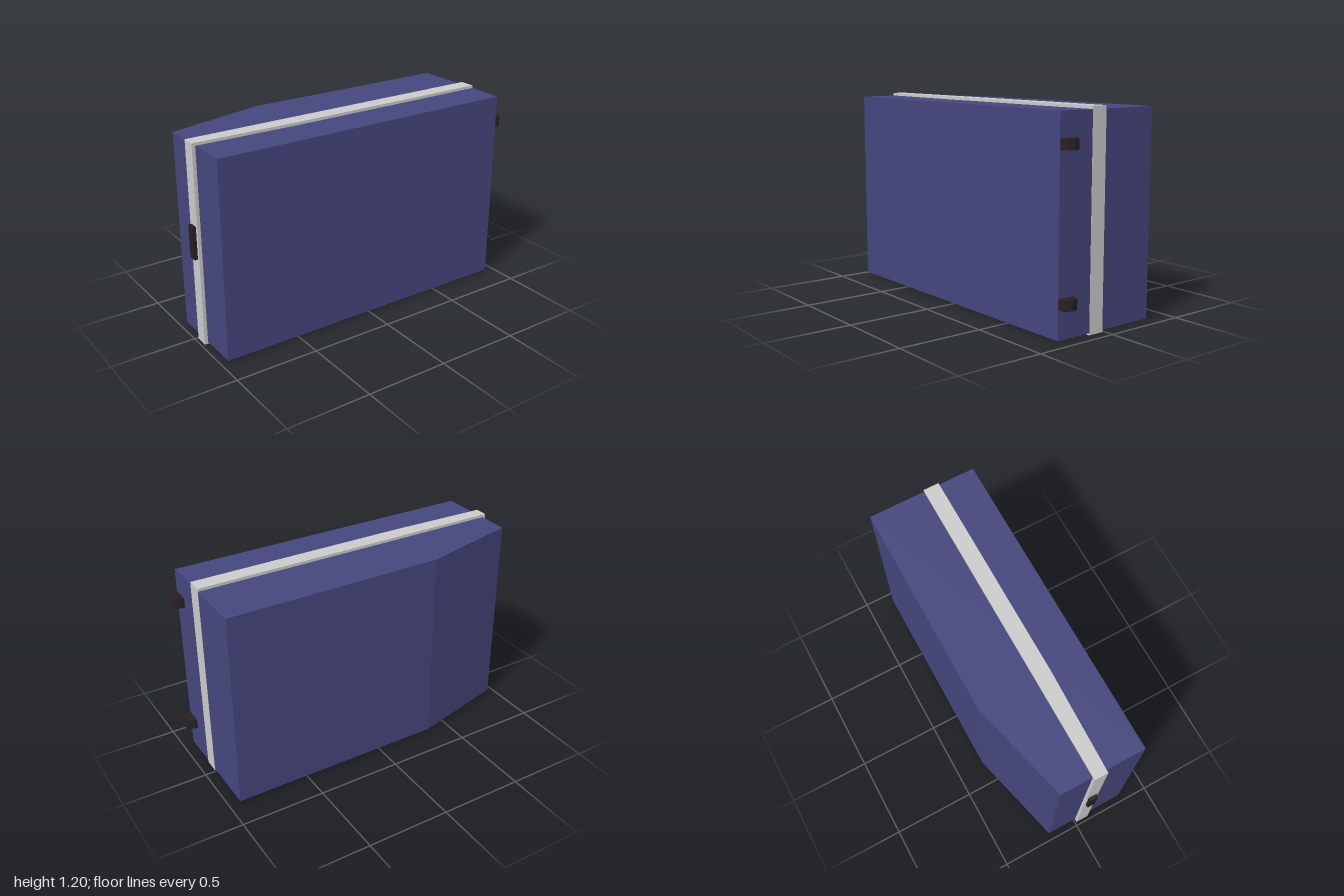
import * as THREE from 'three';

const mat = (color) => new THREE.MeshStandardMaterial({ color, flatShading: true });

// Upright prism: plan outline of [x, z] points, from y0 up to y1
function prism(name, outline, y0, y1, material) {
  const shape = new THREE.Shape(outline.map(([x, z]) => new THREE.Vector2(x, z)));
  const geo = new THREE.ExtrudeGeometry(shape, { depth: y1 - y0, bevelEnabled: false });
  geo.rotateX(Math.PI / 2).translate(0, y1, 0);
  const mesh = new THREE.Mesh(geo, material);
  mesh.name = name;
  return mesh;
}

export function createModel() {
  const model = new THREE.Group();
  model.name = 'case';
  const blue = mat(0x45467d);
  const grey = mat(0xcccccc);
  const dark = mat(0x2a1e22);

  // Case body with one tapered rear corner
  model.add(prism('body', [
    [-0.96, 0.328], [-0.96, -0.178], [-0.36, -0.33], [0.935, -0.33], [0.935, 0.328],
  ], 0.012, 1.183, blue));

  // Trim band around the seam, slimmer towards the latch end
  model.add(prism('trimBand', [
    [-0.98, 0.09], [-0.98, 0.011], [0.936, 0.011], [0.936, 0.106], [-0.36, 0.106],
  ], 0, 1.2, grey));

  // Latch on the band
  model.add(prism('latch', [
    [-1, 0.075], [-1, 0.025], [-0.97, 0.025], [-0.97, 0.075],
  ], 0.53, 0.725, dark));

  // Two rounded hinges on the opposite end
  const hinge = [
    [0.93, 0.226], [0.953, 0.228], [0.985, 0.243], [0.996, 0.277],
    [0.993, 0.29], [0.974, 0.32], [0.965, 0.325], [0.93, 0.325],
  ];
  for (const y of [0.175, 0.99]) model.add(prism('hinge', hinge, y, y + 0.058, dark));

  return model;
}
